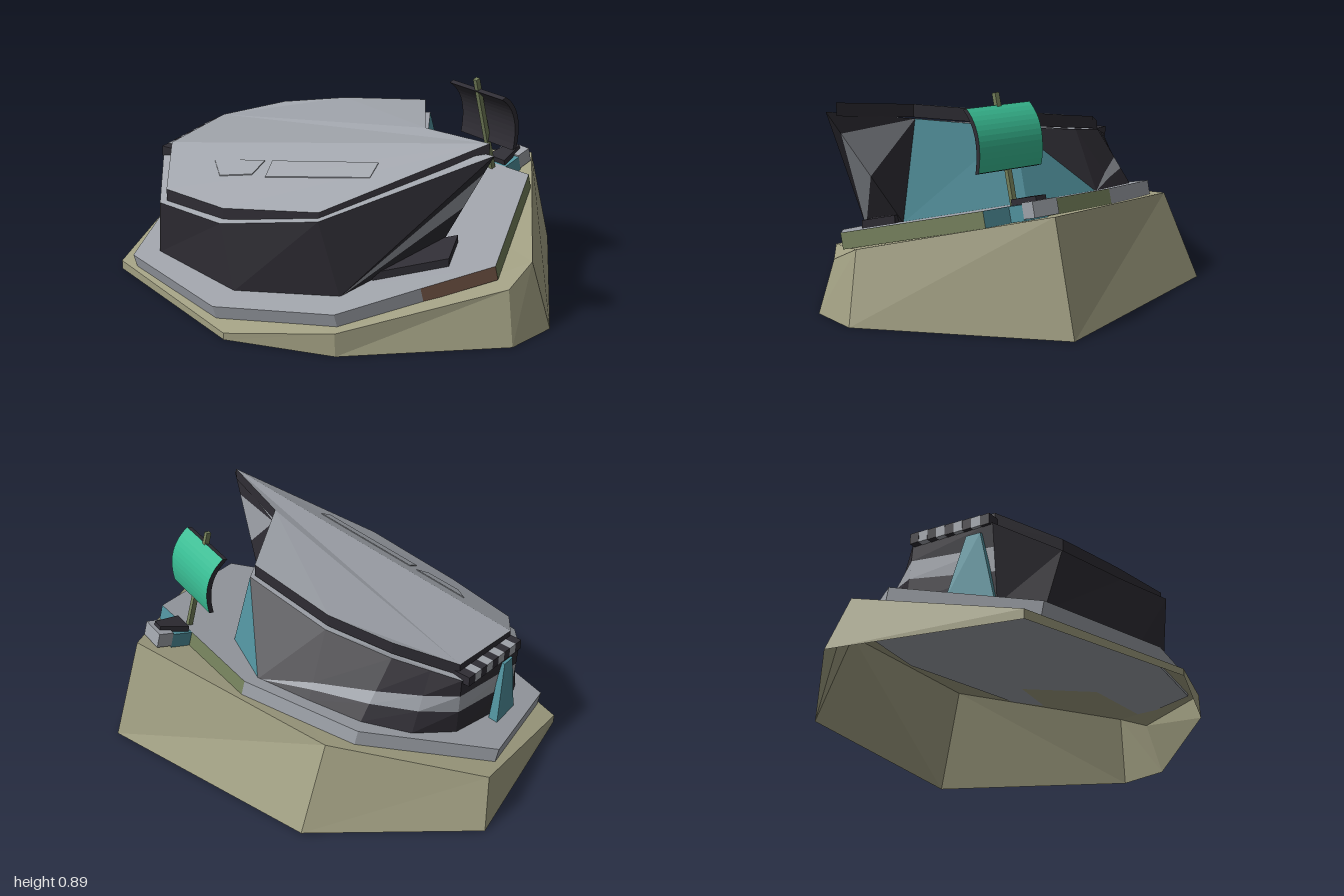
import * as THREE from 'three';

const paint = (name, color, side = THREE.FrontSide) => {
  const m = new THREE.MeshStandardMaterial({ color, side });
  m.name = name;
  return m;
};

// Flat-faced mesh from a list of polygons (each a loop of [x, y, z])
function faces(name, mat, polys) {
  const pos = [];
  for (const p of polys)
    for (let i = 1; i < p.length - 1; i++) pos.push(...p[0], ...p[i], ...p[i + 1]);
  const g = new THREE.BufferGeometry();
  g.setAttribute('position', new THREE.Float32BufferAttribute(pos, 3));
  g.computeVertexNormals();
  const m = new THREE.Mesh(g, mat);
  m.name = name;
  return m;
}

// Upward-facing triangles that fill a loop, seen from above
function cap(loop) {
  const v = loop.map(p => new THREE.Vector2(p[0], p[2]));
  return THREE.ShapeUtils.triangulateShape(v, []).map(([a, b, c]) => {
    const up = (v[b].y - v[a].y) * (v[c].x - v[a].x) - (v[b].x - v[a].x) * (v[c].y - v[a].y);
    return up > 0 ? [loop[a], loop[b], loop[c]] : [loop[a], loop[c], loop[b]];
  });
}

// One wall quad per edge between two loops
const walls = (low, top) => low.map((p, i) => {
  const j = (i + 1) % low.length;
  return [p, low[j], top[j], top[i]];
});
const lerp = (a, b, t) => a.map((v, i) => v + (b[i] - v) * t);
const drop = (loop, d) => loop.map(([x, y, z]) => [x, y - d, z]);

// Sloping deck plane
const SLOPE = 0.273, TILT = Math.atan(SLOPE);
const deckY = z => 0.328 - SLOPE * z;
const onDeck = (x, z, h = 0) => [x, deckY(z) + h, z];

export function createModel() {
  const model = new THREE.Group();
  const stone = paint('stone', 0xa19f82, THREE.DoubleSide);
  const grey = paint('grey', 0x9da1a8);
  const dark = paint('dark', 0x2f2d34);
  const teal = paint('teal', 0x4f8f9b);
  const brown = paint('brown', 0x80604f);
  const olive = paint('olive', 0x727d59);
  const mint = paint('mint', 0x38bb92);
  const add = (...m) => model.add(...m);

  // Faceted stone base, open below
  const foot = [[-1, 0, .12], [-.63, 0, .82], [.19, 0, .86], [.59, 0, .61],
    [1, 0, .03], [.995, 0, -.2], [.4, 0, -.865], [-.59, 0, -.52]];
  const brim = [[-.93, .215, .18], [-.63, .04, .82], [.19, .03, .86], [.585, .1, .61],
    [.94, .225, 0], [.925, .295, -.15], [.39, .46, -.73], [-.53, .36, -.36]];
  add(faces('base', stone, [...walls(foot, brim), ...cap(brim)]));

  // Tilted deck slab with coloured edges
  const deck = [[-.845, .3], [-.53, .82], [.085, .835], [.56, .59], [.735, .29],
    [.89, .03], [.57, -.51], [.32, -.497], [-.1, -.48], [-.56, -.22]].map(([x, z]) => onDeck(x, z));
  const under = deck.map(([x, y, z]) => [x, y - .066, z - .018]);
  const sides = walls(under, deck);
  const belly = cap(under).map(t => t.slice().reverse());
  add(faces('deck', grey, [...cap(deck), ...belly, ...[0, 1, 2, 3, 8, 9].map(i => sides[i])]));
  add(faces('deckBrownEdge', brown, [sides[4]]));
  add(faces('deckOliveEdge', olive, [sides[5], sides[7]]));
  add(faces('deckTealEdge', teal, [sides[6]]));

  // Hull rim and foot loops
  const R = [[-.67, .53, .22], [-.585, .5, .6], [-.375, .39, .765], [.005, .41, .725], [.45, .525, .575],
    [.91, .81, .085], [.51, .745, .05], [.22, .72, -.25], [-.2, .65, -.14], [-.46, .6, .015]];
  const B = [[-.68, .2], [-.56, .6], [-.445, .735], [.075, .72], [.49, .5],
    [.59, .03], [.225, -.34], [-.09, -.41]].map(([x, z]) => onDeck(x, z, -.005));
  const prow = [0, .19, .57, 1].map(t => lerp(R[5], B[5], t));
  const darkFaces = [], greyFaces = [];
  for (let i = 1; i < 4; i++) darkFaces.push([B[i], B[i + 1], R[i + 1], R[i]]);
  darkFaces.push([B[4], R[5], R[4]]);

  // Overhanging prow, with a wedge stripe on both of its sides
  for (let i = 0; i < 3; i++)
    (i === 1 ? greyFaces : darkFaces).push([B[4], prow[i + 1], prow[i]], [prow[i + 1], R[6], prow[i]]);

  // Back and end walls with a stripe that widens toward the end
  const columns = [
    [B[7], R[7], 0, 0], [onDeck(-.3, -.29), R[8], .15, .25], [onDeck(-.5, -.165), R[9], .28, .48],
    [onDeck(-.635, 0), lerp(R[9], R[0], .55), .35, .6], [B[0], R[0], .4, .7], [B[1], R[1], .4, .7],
  ].map(([lo, hi, a, b]) => [lo, lerp(lo, hi, a), lerp(lo, hi, b), hi]);
  for (let c = 0; c < 5; c++)
    for (let k = 0; k < 3; k++) {
      const p = columns[c], q = columns[c + 1];
      (k === 1 ? greyFaces : darkFaces).push([p[k], q[k], q[k + 1], p[k + 1]]);
    }
  add(faces('hull', dark, darkFaces));
  add(faces('hullStripe', grey, greyFaces));
  add(faces('notchWall', teal, [[B[5], B[6], R[7], R[6]], [B[6], B[7], R[7]]]));
  const front = L => L.slice(1, 6), back = L => [L[1], ...L.slice(5), L[0]];
  add(faces('hullRim', grey, [...cap(front(R)), ...cap(back(R))]));

  // Roof slab folded along a ridge
  const roof = [[-.64, .59, .23], [-.55, .567, .575], [-.35, .455, .745], [0, .471, .705], [.435, .555, .56],
    [.87, .845, .07], [.51, .805, .06], [.21, .78, -.23], [-.19, .71, -.12], [-.44, .66, .03]];
  const eave = drop(roof, .055);
  add(faces('roof', grey, [...cap(front(roof)), ...cap(back(roof))]));
  add(faces('roofEdge', dark, walls(eave, roof)));

  // Two thin panels on the front slope
  const slopeY = (x, z) => .917 - .027 * x - .627 * z;
  const panels = [[[-.25, .56], [-.155, .605], [-.01, .545], [-.01, .476]],
    [[.025, .465], [.06, .53], [.515, .364], [.495, .3]]];
  for (const p of panels) {
    const top = p.map(([x, z]) => [x, slopeY(x, z), z]);
    add(faces('roofPanel', grey, [...cap(top), ...walls(drop(top, .006), top)]));
  }

  // Alternating blocks under the end of the roof
  for (let i = 0; i < 9; i++) {
    const block = new THREE.Mesh(new THREE.BoxGeometry(.08, .045, .042), i % 2 ? grey : dark);
    const t = (i + .5) / 9;
    block.position.set(-.66 + .1 * t, .535 - .018 * t, .225 + .36 * t);
    block.rotation.y = Math.atan2(.09, .345);
    block.name = 'ventBlock';
    add(block);
  }

  // Tapered fin against the end wall
  const finFoot = [[-.675, .43], [-.58, .61], [-.54, .59], [-.63, .42]].map(([x, z]) => onDeck(x, z, -.01));
  const finTop = [[-.625, .47, .49], [-.605, .47, .55], [-.58, .47, .55], [-.6, .47, .49]];
  add(faces('fin', teal, [...walls(finFoot, finTop), ...cap(finTop)]));

  // Dark plate on the deck below the prow
  const plate = [[.42, .25], [.53, .36], [.73, .13], [.65, 0]];
  const plateTop = plate.map(([x, z]) => onDeck(x, z, .035));
  add(faces('prowPlate', dark, [...walls(plate.map(([x, z]) => onDeck(x, z)), plateTop), ...cap(plateTop)]));

  // Step at the back of the deck
  const step = new THREE.Group();
  step.name = 'backStep';
  step.position.set(.38, deckY(-.5), -.5);
  step.rotation.x = TILT;
  const box = (name, mat, w, h, d, x, y, z) => {
    const m = new THREE.Mesh(new THREE.BoxGeometry(w, h, d), mat);
    m.name = name;
    m.position.set(x, y, z);
    step.add(m);
  };
  box('stepRoot', teal, .12, .065, .1, 0, -.033, -.04);
  box('stepEnd', grey, .12, .065, .07, 0, -.025, -.125);
  const wedgeFoot = [[-.05, 0, -.01], [.05, 0, -.01], [.025, 0, -.14], [-.025, 0, -.14]];
  const wedgeTop = drop(wedgeFoot, -.025);
  step.add(faces('stepWedge', dark, [...walls(wedgeFoot, wedgeTop), ...cap(wedgeTop)]));
  add(step);

  // Mast leaning forward
  const mast = new THREE.Mesh(new THREE.BoxGeometry(.02, .46, .022), olive);
  mast.name = 'mast';
  mast.position.set(.39, .67, -.412);
  mast.rotation.x = Math.atan2(.12, .435);
  add(mast);

  // Curved dish: bright convex back, dark hollow front
  const arc = new THREE.QuadraticBezierCurve3(new THREE.Vector3(0, .845, -.37),
    new THREE.Vector3(0, .77, -.485), new THREE.Vector3(0, .6, -.45)).getPoints(12);
  const dishBack = [], dishFront = [];
  const X0 = .235, X1 = .545, T = .022;
  for (let i = 0; i < 12; i++) {
    const a = arc[i], b = arc[i + 1];
    const at = (x, p, t) => [x, p.y - t * .35, p.z + t];
    dishBack.push([at(X0, a, 0), at(X1, a, 0), at(X1, b, 0), at(X0, b, 0)]);
    dishFront.push([at(X0, b, T), at(X1, b, T), at(X1, a, T), at(X0, a, T)]);
    dishFront.push([at(X1, a, 0), at(X1, a, T), at(X1, b, T), at(X1, b, 0)]);
    dishFront.push([at(X0, b, 0), at(X0, b, T), at(X0, a, T), at(X0, a, 0)]);
    if (i === 0) dishFront.push([at(X0, a, 0), at(X0, a, T), at(X1, a, T), at(X1, a, 0)]);
    if (i === 11) dishFront.push([at(X0, b, 0), at(X1, b, 0), at(X1, b, T), at(X0, b, T)]);
  }
  add(faces('dishBack', mint, dishBack), faces('dishFront', dark, dishFront));

  return model;
}
